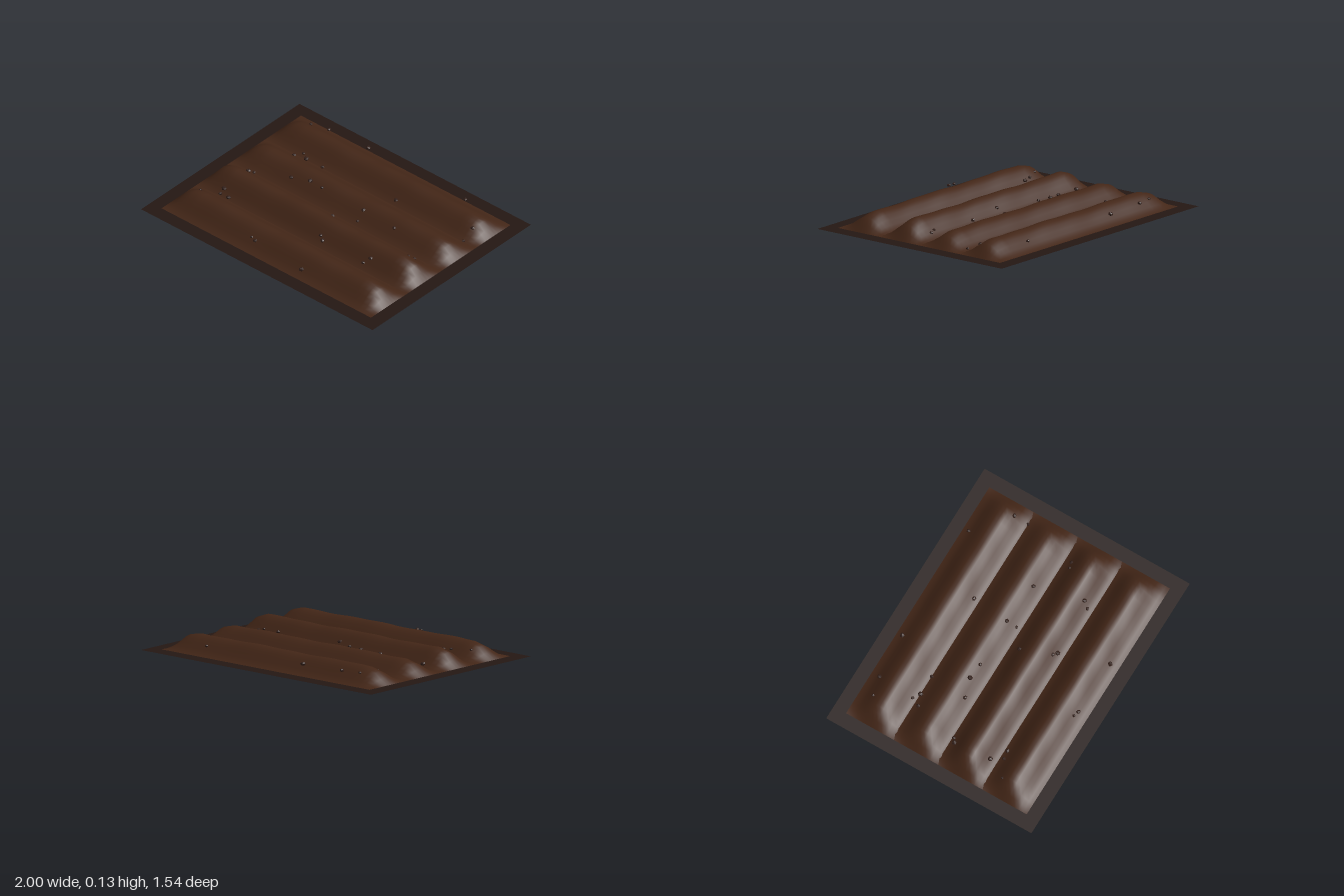
import * as THREE from 'three';

const RIDGE_LENGTH = 1.81, HALF_WIDTH = 0.18;
const RIDGES = [ // centre z, height
  [0.5, 0.108], [0.167, 0.118], [-0.167, 0.1], [-0.5, 0.102],
];

// Height factor along a ridge: full in the middle, sloping to the ground at both ends
function endTaper(x) {
  const d = RIDGE_LENGTH / 2 - Math.abs(x);
  if (d <= 0) return 0;
  return d < 0.08 ? (d / 0.08) * 0.78 : Math.min(1, 0.78 + ((d - 0.08) / 0.085) * 0.22);
}

// Height of one ridge at x and at offset dz from its centre line
function ridgeHeight(index, x, dz) {
  const t = Math.min(1, Math.abs(dz) / HALF_WIDTH);
  const bell = Math.pow(0.5 + 0.5 * Math.cos(Math.PI * t), 0.88);
  const ripple = 1 + 0.025 * Math.sin(x * 9 + index * 2) + 0.015 * Math.sin(x * 21 + index * 5 + dz * 20);
  return 0.003 + RIDGES[index][1] * bell * endTaper(x) * ripple;
}

function groundHeight(x, z) {
  return Math.max(...RIDGES.map(([cz], i) => ridgeHeight(i, x, z - cz)));
}

// Clods: x, z, and lift above the soil
const CLODS = [
  [-0.73, -0.58, 0.01], [-0.6, -0.61, 0.035], [-0.28, -0.63, 0.05], [0.56, -0.63, 0.045],
  [0.8, -0.43, 0], [-0.6, -0.36, 0.005], [-0.63, -0.3, 0.005], [-0.55, -0.33, 0.015],
  [-0.41, -0.33, 0.015], [0.19, -0.37, 0], [0.81, -0.33, 0.015], [-0.44, -0.06, 0.03],
  [-0.31, -0.1, 0.01], [-0.2, -0.09, 0.02], [0.15, -0.1, 0], [0.16, -0.03, 0.01],
  [0.44, -0.07, 0.035], [-0.73, 0.03, 0.01], [-0.7, 0.01, 0.015], [0.03, 0.07, 0],
  [0.68, 0.06, 0], [0.72, 0.05, 0], [-0.71, 0.29, 0.01], [-0.67, 0.37, 0.04],
  [-0.61, 0.36, 0.04], [-0.79, 0.43, 0], [0.11, 0.27, 0], [0.14, 0.29, 0.005],
  [0.5, 0.3, 0.015], [0.53, 0.26, 0.005], [-0.19, 0.61, 0.04], [-0.15, 0.62, 0.045],
  [0.25, 0.62, 0.005],
];

export function createModel() {
  const group = new THREE.Group();
  const baseMaterial = new THREE.MeshStandardMaterial({ color: 0x241713, side: THREE.DoubleSide });
  const ridgeMaterial = new THREE.MeshStandardMaterial({ color: 0x432617, side: THREE.DoubleSide });
  const clodMaterial = new THREE.MeshStandardMaterial({ color: 0x33201a, flatShading: true });

  // Flat bed of soil
  const bed = new THREE.Mesh(new THREE.PlaneGeometry(2, 1.545).rotateX(-Math.PI / 2), baseMaterial);
  bed.name = 'soilBed';
  group.add(bed);

  // Four raised furrow ridges
  RIDGES.forEach(([cz], i) => {
    const geometry = new THREE.PlaneGeometry(RIDGE_LENGTH, HALF_WIDTH * 2, 44, 12).rotateX(-Math.PI / 2);
    const p = geometry.attributes.position;
    for (let k = 0; k < p.count; k++) p.setY(k, ridgeHeight(i, p.getX(k), p.getZ(k)));
    geometry.computeVertexNormals();
    const ridge = new THREE.Mesh(geometry, ridgeMaterial);
    ridge.name = `soilRidge${i + 1}`;
    ridge.position.z = cz;
    group.add(ridge);
  });

  // Loose clods of earth
  const clods = new THREE.Group();
  clods.name = 'clods';
  const clodGeometry = new THREE.IcosahedronGeometry(1, 0);
  CLODS.forEach(([x, z, lift], i) => {
    const clod = new THREE.Mesh(clodGeometry, clodMaterial);
    clod.name = `clod${i + 1}`;
    const r = 0.011 + 0.006 * ((i * 7) % 5) / 4;
    clod.scale.set(r * 1.1, r * 0.8, r);
    clod.rotation.y = i * 1.7;
    clod.position.set(x, Math.max(groundHeight(x, z) + lift, r * 0.8), z);
    clods.add(clod);
  });
  group.add(clods);
  return group;
}
